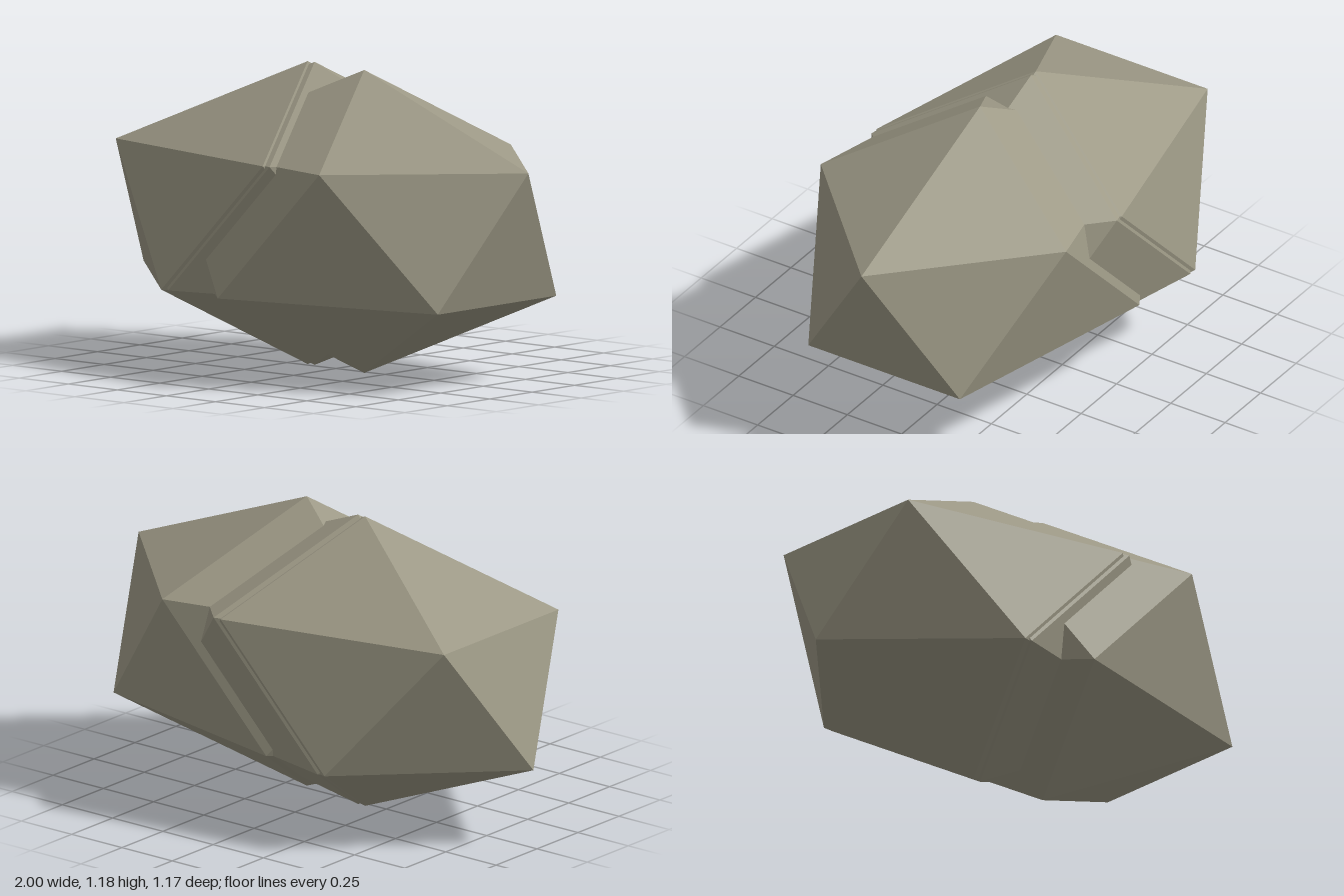
import * as THREE from 'three';

const RX = 0.837, RZ = 0.594, HALF = 0.59; // ring radii and half height
const RING = HALF / Math.sqrt(5);          // ring height above and below the middle

// Stretched icosahedron standing on a point: two staggered rings of five between two tips
function crystalGeometry() {
  const at = (step, y) => {
    const a = step * Math.PI / 5;
    return [RX * Math.cos(a), y, RZ * Math.sin(a)];
  };
  const top = [0, HALF, 0], bottom = [0, -HALF, 0];
  const upper = i => at(2 * i, RING);
  const lower = i => at(2 * i + 1, -RING);
  const corners = [];
  for (let i = 0; i < 5; i++) {
    corners.push(
      top, upper(i + 1), upper(i),
      upper(i), upper(i + 1), lower(i),
      upper(i), lower(i), lower(i - 1),
      lower(i), lower(i + 1), bottom
    );
  }
  const geometry = new THREE.BufferGeometry();
  geometry.setAttribute('position', new THREE.Float32BufferAttribute(corners.flat(), 3));
  geometry.computeVertexNormals(); // unshared corners keep every facet flat
  return geometry;
}

export function createModel() {
  const model = new THREE.Group();
  model.name = 'rock';

  const stone = new THREE.MeshStandardMaterial({ color: 0x9c9885 });
  stone.name = 'stone';
  const geometry = crystalGeometry();

  // Overlapping lumps: two nearly together on one side, one on the other
  const lumps = [
    ['rightLump', -0.163, -0.022],
    ['middleLump', -0.128, -0.022],
    ['leftLump', 0.163, 0.022],
  ];
  for (const [name, x, z] of lumps) {
    const lump = new THREE.Mesh(geometry, stone);
    lump.name = name;
    lump.position.set(x, HALF, z);
    model.add(lump);
  }
  return model;
}
